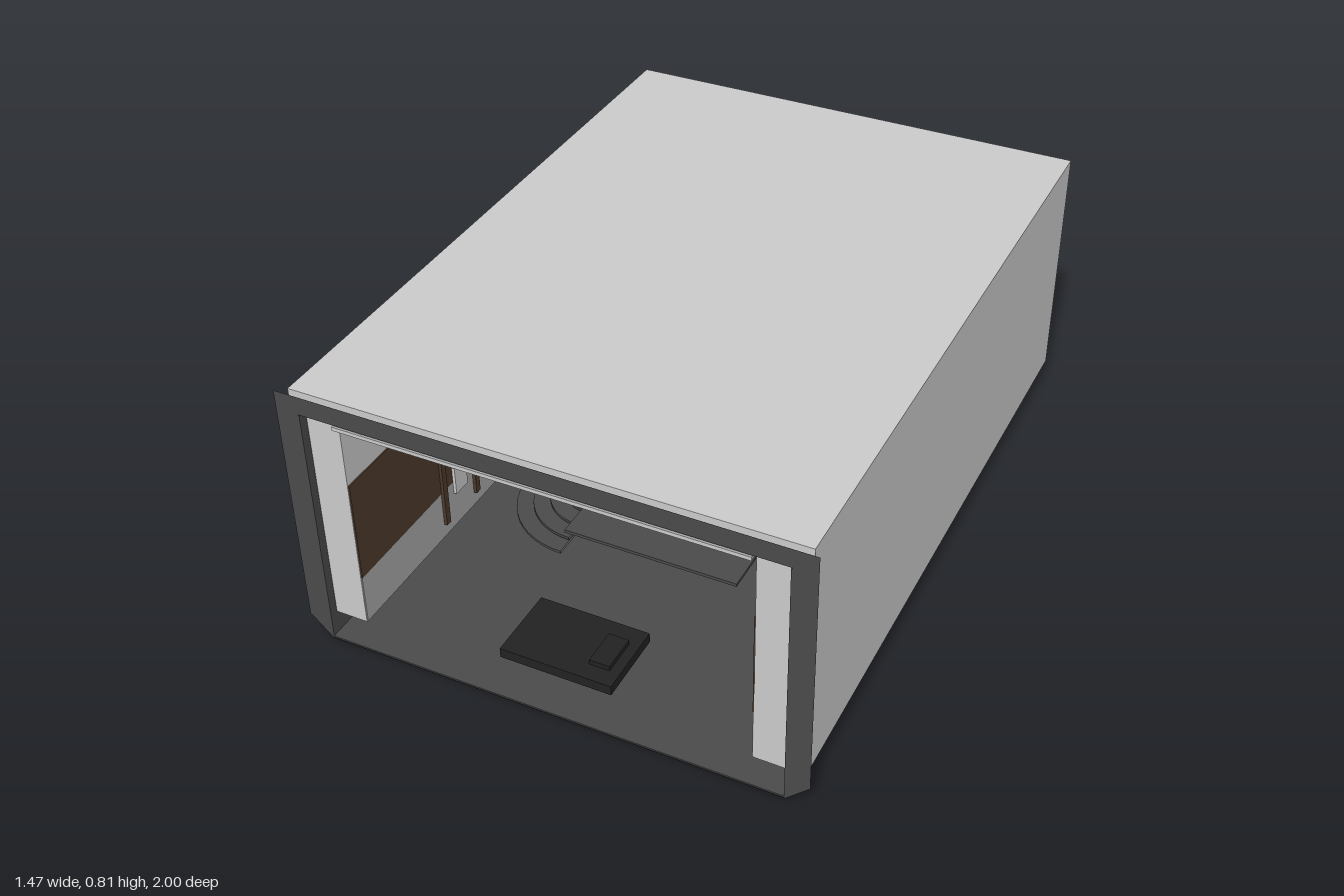
import * as THREE from 'three';

const mat = (name, color, side = THREE.FrontSide) => {
  const m = new THREE.MeshStandardMaterial({ color, side });
  m.name = name;
  return m;
};

export function createModel() {
  const root = new THREE.Group();
  root.name = 'cabin';
  const light = mat('light grey', 0xcacaca);
  const grey = mat('mid grey', 0xa7a7a7);
  const dark = mat('dark grey', 0x4a4a4a, THREE.DoubleSide);
  const black = mat('near black', 0x222222);
  const brown = mat('brown', 0x4b392c);

  const add = (name, geo, m, x = 0, y = 0, z = 0) => {
    const mesh = new THREE.Mesh(geo, m);
    mesh.name = name;
    mesh.position.set(x, y, z);
    root.add(mesh);
    return mesh;
  };
  // box given by its limits on each axis
  const box = (name, m, x0, x1, y0, y1, z0, z1) =>
    add(name, new THREE.BoxGeometry(x1 - x0, y1 - y0, z1 - z0), m,
      (x0 + x1) / 2, (y0 + y1) / 2, (z0 + z1) / 2);

  // outer shell: roof, thick walls, back
  const shell = new THREE.Shape([[-0.713, 0.075], [-0.57, 0.075], [-0.57, 0.752], [0.57, 0.752],
    [0.57, 0.075], [0.713, 0.075], [0.713, 0.805], [-0.713, 0.805]].map(p => new THREE.Vector2(...p)));
  add('shell', new THREE.ExtrudeGeometry(shell, { depth: 1.967, bevelEnabled: false }), light, 0, 0, -0.995);
  box('backWall', light, -0.57, 0.57, 0.077, 0.752, -0.995, -0.975);
  box('backDoor', brown, -0.57, 0.33, 0.075, 0.73, -0.999, -0.994);

  // ceiling lining with a dark underside strip at the back
  box('ceilingLining', grey, -0.57, 0.57, 0.739, 0.75, -1, 1);
  box('ceilingFrontEdge', light, -0.57, 0.57, 0.739, 0.75, 0.998, 1.0005);
  box('rearCeilingEdge', black, -0.57, 0.57, 0.735, 0.739, -1, -0.97);

  // flat front frame with cut lower corners
  const frame = new THREE.Shape([[-0.67, 0], [-0.67, 0.755], [0.67, 0.755], [0.67, 0],
    [0.736, 0.065], [0.736, 0.81], [-0.736, 0.81], [-0.736, 0.065]].map(p => new THREE.Vector2(...p)));
  add('frontFrame', new THREE.ShapeGeometry(frame), dark, 0, 0, 0.999);

  // floor tray
  box('underside', black, -0.67, 0.67, 0, 0.004, -0.787, 0.999);
  box('floor', dark, -0.67, 0.67, 0.004, 0.007, -0.787, 0.999);
  box('trayBack', grey, -0.67, 0.67, 0.004, 0.075, -0.79, -0.782);
  box('rearUnderside', black, -0.57, 0.57, 0.073, 0.077, -0.995, -0.787);

  for (const s of [-1, 1]) {
    const side = (name, m, a, b, ...rest) => box(name, m, Math.min(s * a, s * b), Math.max(s * a, s * b), ...rest);
    side('traySide', dark, 0.667, 0.671, 0, 0.076, -0.787, 0.999);
    side('frameReturn', dark, 0.667, 0.671, 0.075, 0.752, 0.972, 0.999);
    // wall panelling
    side('lowerPanel', grey, 0.567, 0.571, 0.077, 0.23, -0.975, 0.97);
    side('woodBand', brown, 0.566, 0.571, 0.23, 0.54, -0.975, 0.97);
  }
  box('backLowerPanel', grey, -0.567, 0.567, 0.077, 0.23, -0.975, -0.97);
  box('backWoodBand', brown, -0.567, 0.567, 0.23, 0.54, -0.975, -0.969);

  // ceiling fittings
  box('ceilingPanel', brown, -0.28, 0.27, 0.727, 0.737, -0.45, 0.45);
  box('lowerCeilingPanel', brown, -0.14, 0.135, 0.713, 0.72, -0.3, 0.3);
  box('ceilingStrip', black, -0.57, -0.28, 0.734, 0.738, -0.45, 0.45);
  for (const x of [-0.21, 0.205]) for (const z of [-0.25, 0.25])
    add('ceilingLamp', new THREE.CylinderGeometry(0.025, 0.025, 0.014, 16), light, x, 0.72, z);

  // wall fittings on the right wall
  box('wallScreen', black, -0.57, -0.54, 0.305, 0.635, 0.19, 0.38);
  box('wallFrameTop', brown, -0.567, -0.557, 0.5, 0.53, 0.4, 0.58);
  for (const z of [0.4, 0.56]) box('wallFramePost', brown, -0.567, -0.557, 0.12, 0.53, z, z + 0.02);
  box('wallOrnament', light, -0.566, -0.557, 0.19, 0.28, 0.46, 0.52);

  // curved steps rising to the stage
  for (let i = 0; i < 5; i++) {
    const r = 0.25 - i * 0.05;
    add('curvedStep', new THREE.CylinderGeometry(r, r, 0.009, 24, 1, false, Math.PI, Math.PI),
      dark, -0.27, 0.024 + i * 0.013, 0.2);
  }

  // stage
  box('stageTop', dark, -0.27, 0.27, 0.076, 0.086, -0.75, 0.42);
  box('stageBase', light, -0.27, 0.27, 0.02, 0.076, -0.75, -0.3);
  box('stageSide', dark, 0.27, 0.32, 0.02, 0.076, -0.75, -0.3);
  box('cabinet', brown, -0.05, 0.17, 0.086, 0.16, -0.05, 0.28);
  box('bench', black, -0.2, -0.06, 0.086, 0.105, 0.05, 0.18);
  const profile = [[0, 0], [0.014, 0], [0.014, 0.008], [0.005, 0.014], [0.014, 0.028],
    [0.005, 0.036], [0.01, 0.048], [0.004, 0.056], [0, 0.06]].map(p => new THREE.Vector2(...p));
  add('figurine', new THREE.LatheGeometry(profile, 12), light, 0.06, 0.16, 0.15);

  // low front table
  box('frontTable', black, -0.18, 0.15, 0.07, 0.1, 0.71, 0.93);
  box('tableBox', black, 0.06, 0.12, 0.1, 0.115, 0.77, 0.88);

  return root;
}
